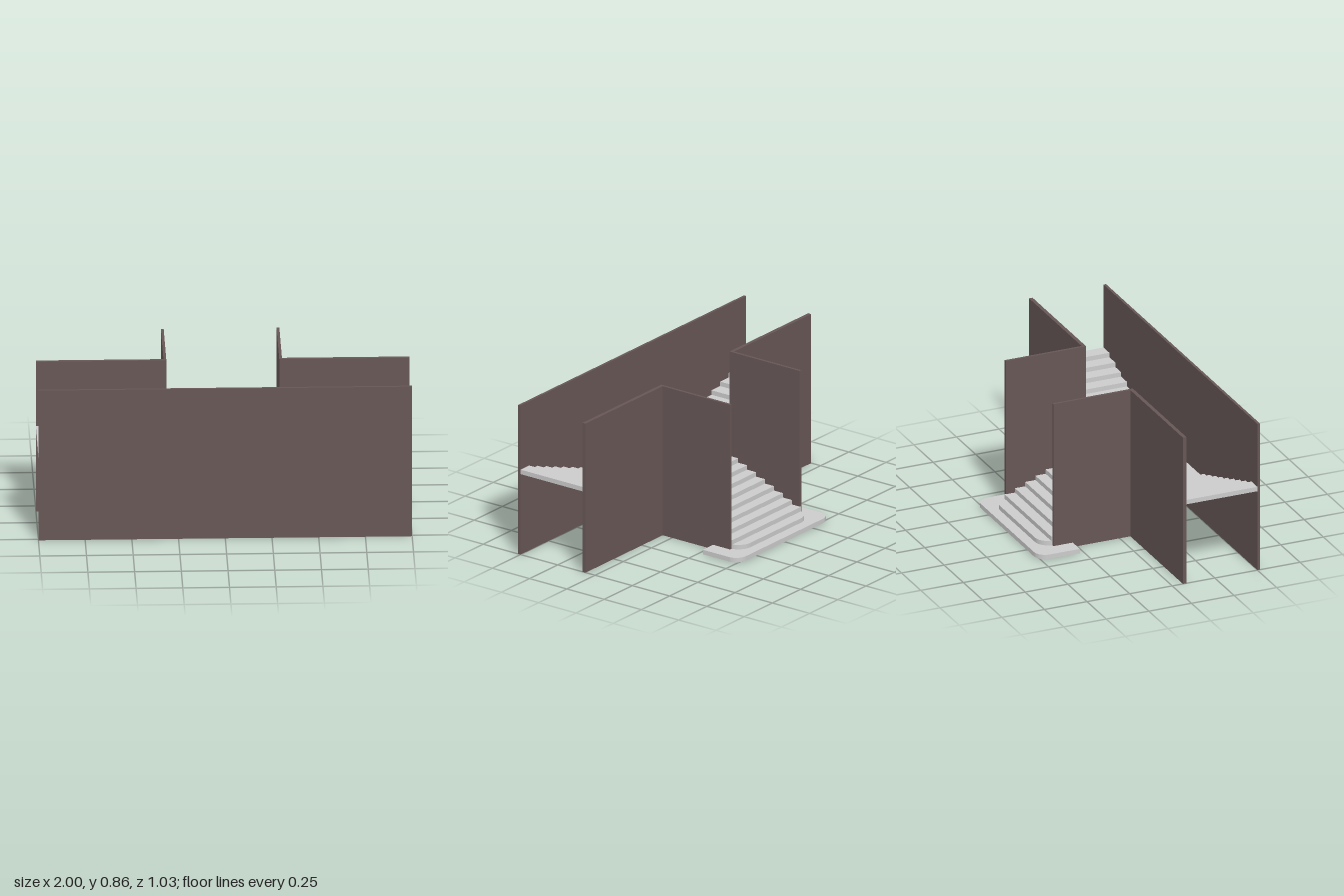
import * as THREE from 'three';

const RISE = 0.0257, TREAD = 0.06, HALF = 0.305, WALL_H = 0.857;
const INNER = 0.0835, FRONT = 0.5;

export function createModel() {
  const model = new THREE.Group();
  const stone = new THREE.MeshStandardMaterial({ color: 0xcccccc });
  const thin = new THREE.MeshStandardMaterial({ color: 0xcccccc, side: THREE.DoubleSide });
  const wallMat = new THREE.MeshStandardMaterial({ color: 0x665655 });

  // Box given by its limits on each axis
  const box = (name, mat, x0, x1, y0, y1, z0, z1) => {
    const mesh = new THREE.Mesh(new THREE.BoxGeometry(x1 - x0, y1 - y0, z1 - z0), mat);
    mesh.position.set((x0 + x1) / 2, (y0 + y1) / 2, (z0 + z1) / 2);
    mesh.name = name;
    model.add(mesh);
  };

  // Slab whose two outer (-z) corners are rounded
  const roundedStep = (name, half, zOuter, zInner, y, r) => {
    const a = -zInner, b = -zOuter; // shape y becomes -z
    const s = new THREE.Shape();
    s.moveTo(-half, a);
    s.lineTo(half, a);
    s.lineTo(half, b - r);
    s.absarc(half - r, b - r, r, 0, Math.PI / 2, false);
    s.lineTo(-half + r, b);
    s.absarc(-half + r, b - r, r, Math.PI / 2, Math.PI, false);
    s.closePath();
    const g = new THREE.ExtrudeGeometry(s, { depth: RISE, bevelEnabled: false, curveSegments: 12 });
    g.rotateX(-Math.PI / 2);
    const mesh = new THREE.Mesh(g, stone);
    mesh.position.y = y;
    mesh.name = name;
    model.add(mesh);
  };

  // Main flight: two rounded starting steps, then straight ones
  roundedStep('bottomStep', 0.408, -0.515, -0.275, 0, 0.065);
  roundedStep('secondStep', HALF, -0.456, -0.335, RISE, 0.08);
  for (let i = 2; i < 10; i++) {
    const z = -0.515 + i * TREAD;
    box('mainStep', stone, -HALF, HALF, i * RISE, (i + 1) * RISE, z, z + TREAD);
  }

  // Landing between the flights
  box('landing', thin, -0.31, 0.31, 10 * RISE - 0.002, 10 * RISE, INNER, FRONT);

  // Side flights rising outwards from the landing
  const run = (1 - 0.31) / 9;
  for (const side of [-1, 1]) {
    for (let i = 0; i < 9; i++) {
      const a = side * (0.31 + i * run), b = side * (0.31 + (i + 1) * run);
      box('sideStep', stone, Math.min(a, b), Math.max(a, b),
        (10 + i) * RISE, (11 + i) * RISE, INNER, FRONT);
    }
    // Walls beside the main flight and behind the side flights
    const limits = (p, q) => side > 0 ? [p, q] : [-q, -p];
    box('flightWall', wallMat, ...limits(0.302, 0.317), 0, WALL_H, -0.388, INNER);
    box('wingWall', wallMat, ...limits(0.317, 1), 0, WALL_H, 0.063, INNER);
  }

  // Long wall
  box('longWall', wallMat, -1, 1, 0, WALL_H, FRONT, 0.515);
  return model;
}
